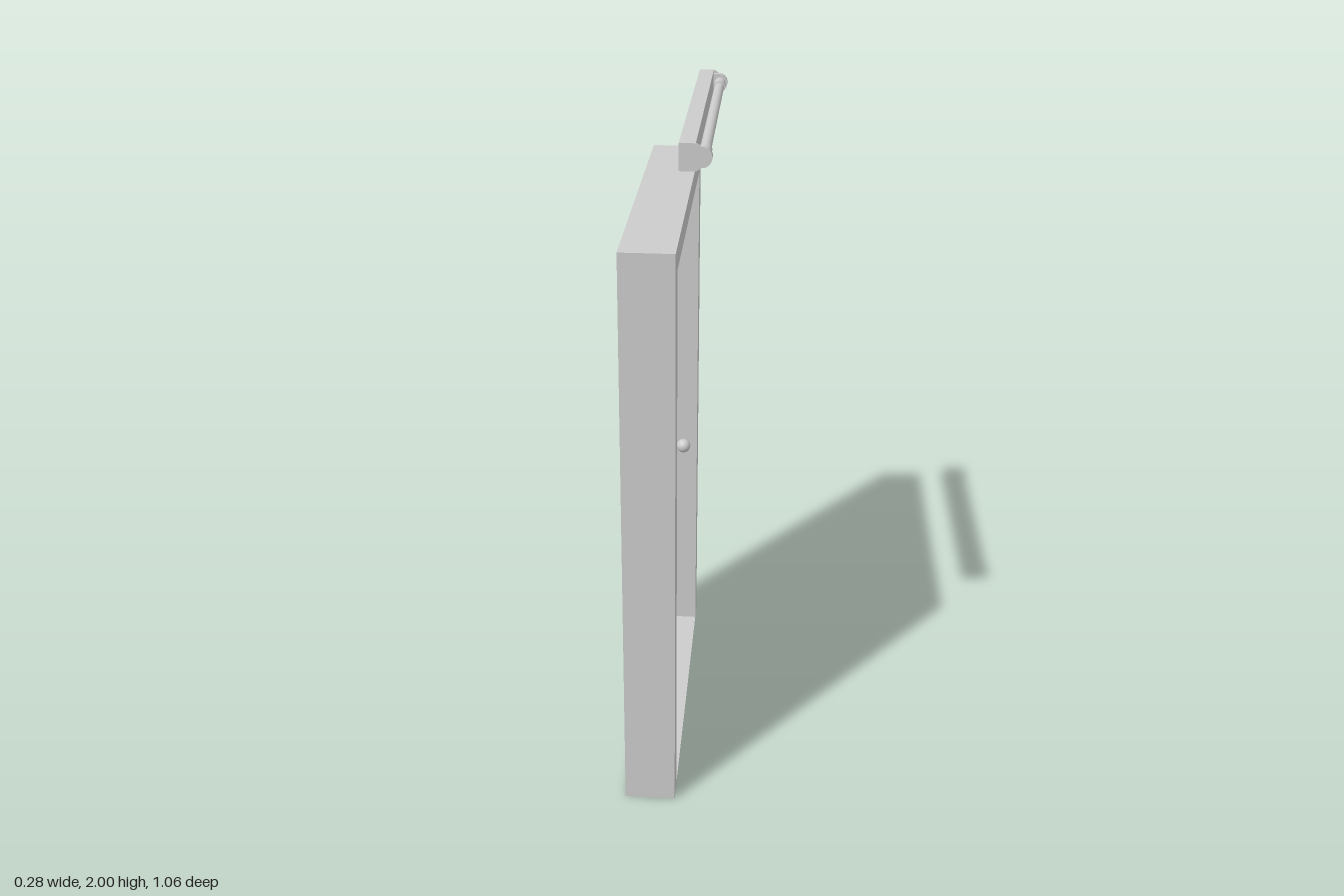
import * as THREE from 'three';

export function createModel() {
  const model = new THREE.Group();
  const material = new THREE.MeshStandardMaterial({ color: 0xcccccc });

  function add(parent, name, geometry, x = 0, y = 0, z = 0) {
    const mesh = new THREE.Mesh(geometry, material);
    mesh.name = name;
    mesh.position.set(x, y, z);
    parent.add(mesh);
    return mesh;
  }
  // Box given by its lower and upper corners
  function box(parent, name, [x0, y0, z0], [x1, y1, z1]) {
    return add(parent, name, new THREE.BoxGeometry(x1 - x0, y1 - y0, z1 - z0),
      (x0 + x1) / 2, (y0 + y1) / 2, (z0 + z1) / 2);
  }
  function group(name) {
    const g = new THREE.Group();
    g.name = name;
    model.add(g);
    return g;
  }
  // Shape drawn in x, y and extruded along z, centred on zMid
  function extrude(parent, name, shape, depth, zMid) {
    const geometry = new THREE.ExtrudeGeometry(shape, { depth, bevelEnabled: false, curveSegments: 16 });
    return add(parent, name, geometry, 0, 0, zMid - depth / 2);
  }

  // Door frame: one arch-shaped outline extruded through the wall, plus a thin sill
  const back = -0.095, front = 0.055, half = 0.53, inner = 0.465, top = 1.74, head = 1.675;
  const frame = group('doorFrame');
  const outline = new THREE.Shape([
    [-half, 0], [-inner, 0], [-inner, head], [inner, head],
    [inner, 0], [half, 0], [half, top], [-half, top],
  ].map(([a, b]) => new THREE.Vector2(a, b)));
  const surround = add(frame, 'surround',
    new THREE.ExtrudeGeometry(outline, { depth: front - back, bevelEnabled: false }), back);
  surround.rotation.y = Math.PI / 2;
  box(frame, 'sill', [back, 0, -inner], [front, 0.004, inner]);

  // Door leaf, set close to the back of the frame
  const leafBack = -0.08, leafFront = -0.025;
  const door = group('door');
  box(door, 'leaf', [leafBack, 0.004, -inner], [leafFront, head, inner]);

  // Plate, neck and knob on both faces of the leaf
  for (const [side, face] of [[-1, leafBack], [1, leafFront]]) {
    const handle = new THREE.Group();
    handle.name = side < 0 ? 'backHandle' : 'frontHandle';
    handle.position.set(face, 0, -0.345);
    door.add(handle);
    add(handle, 'plate', new THREE.BoxGeometry(0.017, 0.155, 0.06), side * 0.0085, 0.802, 0);
    const neck = add(handle, 'neck', new THREE.CylinderGeometry(0.009, 0.009, 0.03, 16), side * 0.025, 0.765, 0);
    neck.rotation.z = Math.PI / 2;
    add(handle, 'knob', new THREE.SphereGeometry(0.023, 24, 16), side * 0.042, 0.765, 0);
  }

  // Tube lamp above the door: channel open at the back, end caps, sockets and tube
  const lamp = group('lamp');
  const y0 = 1.928, y1 = 2, mid = (y0 + y1) / 2, x0 = 0.055, x1 = 0.098, t = 0.003;
  const channel = new THREE.Shape([
    [x0, y0], [x1, y0], [x1, y1], [x0, y1],
    [x0, y1 - t], [x1 - t, y1 - t], [x1 - t, y0 + t], [x0, y0 + t],
  ].map(([a, b]) => new THREE.Vector2(a, b)));
  extrude(lamp, 'housing', channel, 0.87, 0);

  const cap = new THREE.Shape();
  cap.moveTo(x0, y0);
  cap.lineTo(0.1, y0);
  cap.lineTo(0.113, mid - 0.027);
  cap.absarc(0.113, mid, 0.027, -Math.PI / 2, Math.PI / 2, false);
  cap.lineTo(0.1, y1);
  cap.lineTo(x0, y1);
  // Below the channel ends only a thin plate closes the box; the rounded nose is thicker
  const nose = new THREE.Shape();
  nose.moveTo(x1, mid - 0.027);
  nose.lineTo(0.113, mid - 0.027);
  nose.absarc(0.113, mid, 0.027, -Math.PI / 2, Math.PI / 2, false);
  nose.lineTo(x1, mid + 0.027);
  for (const s of [-1, 1]) {
    extrude(lamp, 'endCap', cap, 0.005, s * 0.4375);
    extrude(lamp, 'capNose', nose, 0.017, s * 0.4275);
    const socket = add(lamp, 'socket', new THREE.CylinderGeometry(0.0175, 0.0175, 0.06, 24), 0.118, mid, s * 0.39);
    socket.rotation.x = Math.PI / 2;
  }
  const tube = add(lamp, 'tube', new THREE.CylinderGeometry(0.0145, 0.0145, 0.84, 24), 0.118, mid, 0);
  tube.rotation.x = Math.PI / 2;

  return model;
}
